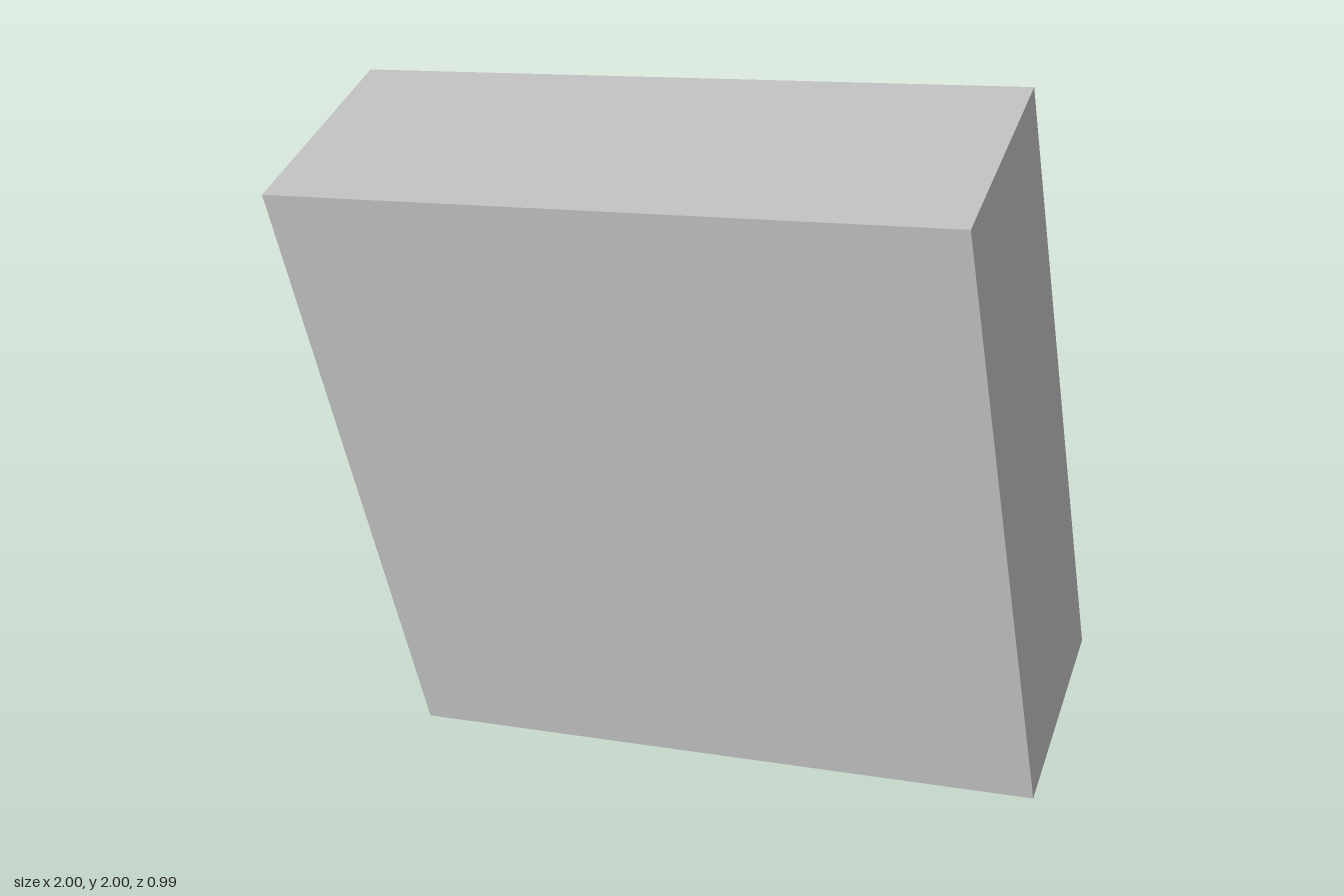
import * as THREE from 'three';

// Square-sided shell: a four-sided lathe of [half width, depth towards back]
function squareShell(name, profile, material) {
  const points = profile.map(([half, d]) => new THREE.Vector2(half * Math.SQRT2, d));
  const geometry = new THREE.LatheGeometry(points, 4, Math.PI / 4).toNonIndexed();
  geometry.rotateX(-Math.PI / 2); // lathe axis points to the back (-z)
  geometry.computeVertexNormals();
  const mesh = new THREE.Mesh(geometry, material);
  mesh.name = name;
  return mesh;
}

export function createModel() {
  const grey = new THREE.MeshStandardMaterial({ color: 0xc0c0c0, flatShading: true });
  grey.name = 'grey';

  const body = 0.864, rim = 0.779, hole = 0.518; // half widths
  const front = -0.298, back = 0.298, rimBack = 0.387, floor = 0.042;

  const block = new THREE.Group();
  block.name = 'tiltedBlock';
  block.add(
    // Main slab, closed at the front, with a ledge around the rim at the back
    squareShell('body', [[0, front], [body, front], [body, back], [rim, back]], grey),
    // Raised square frame on the back
    squareShell('raisedRim', [[rim, back], [rim, rimBack], [hole, rimBack]], grey),
    // Square pocket inside the frame
    squareShell('recess', [[hole, rimBack], [hole, floor], [0, floor]], grey),
  );

  // Tilt the block along its own right, up and forward axes
  const right = new THREE.Vector3(1.7, 0.245, -0.17).normalize();
  const up = new THREE.Vector3(-0.23, 1.705, 0.16);
  up.addScaledVector(right, -up.dot(right)).normalize();
  const forward = new THREE.Vector3().crossVectors(right, up);
  block.quaternion.setFromRotationMatrix(new THREE.Matrix4().makeBasis(right, up, forward));
  block.position.set(0, 1, 0.033);

  const model = new THREE.Group();
  model.name = 'recessedBlock';
  model.add(block);
  return model;
}
